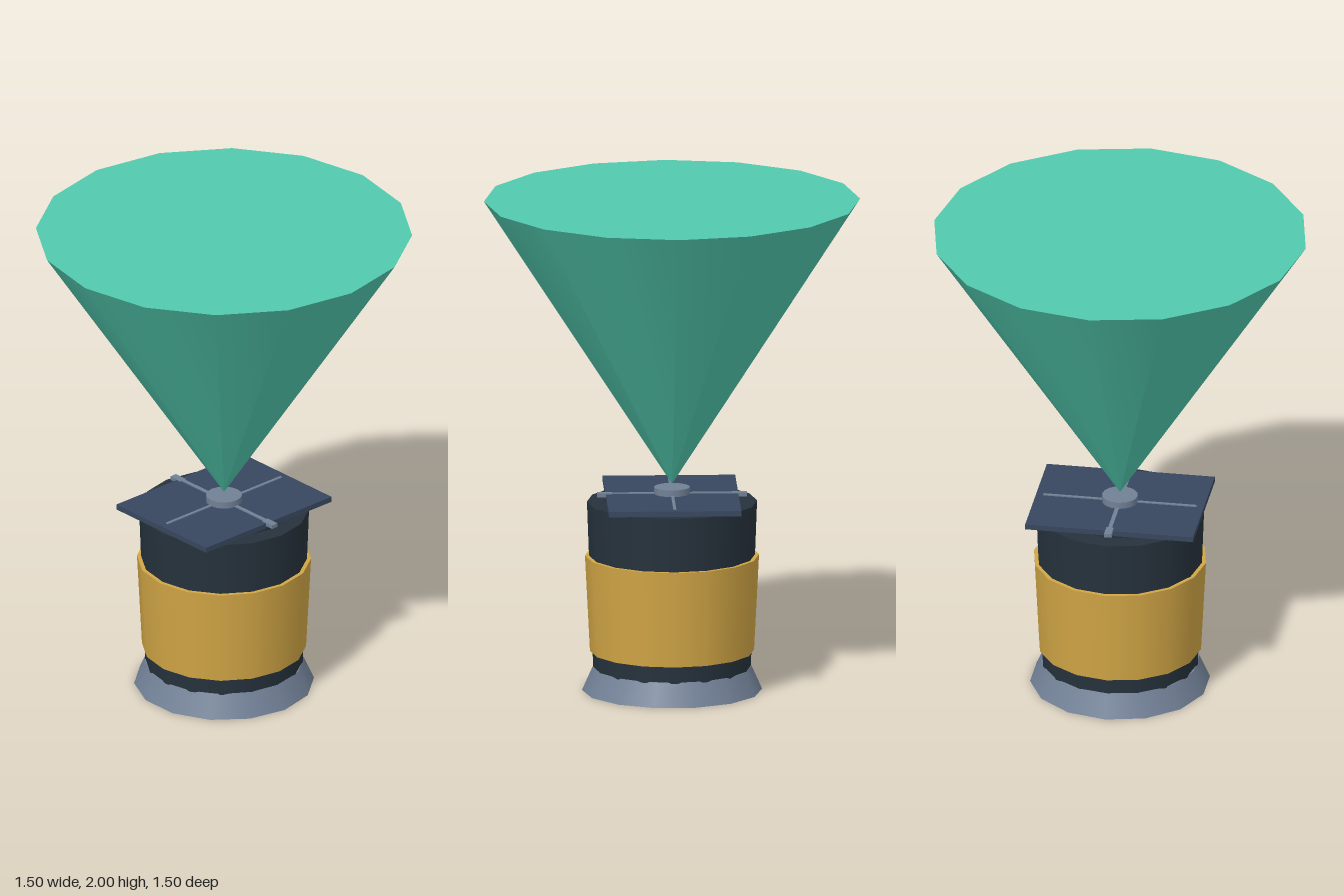
import * as THREE from 'three';

const paint = (name, color) => Object.assign(new THREE.MeshStandardMaterial({ color }), { name });

export function createModel() {
  const green = paint('teal green', 0x52c9ae);
  const gold = paint('mustard gold', 0xd0a545);
  const dark = paint('charcoal', 0x26323c);
  const navy = paint('dark slate blue', 0x38475f);
  const grey = paint('slate grey', 0x718096);

  const model = new THREE.Group();
  const add = (name, geometry, material, x, y, z) => {
    const mesh = new THREE.Mesh(geometry, material);
    mesh.name = name;
    mesh.position.set(x, y, z);
    model.add(mesh);
  };
  // Round part between two heights, with its bottom and top radius
  const round = (name, y0, y1, r0, r1, sides, material) =>
    add(name, new THREE.CylinderGeometry(r1, r0, y1 - y0, sides), material, 0, (y0 + y1) / 2, 0);
  const box = (name, w, h, d, material, x, y, z) =>
    add(name, new THREE.BoxGeometry(w, h, d), material, x, y, z);

  // Cup with flared foot and sleeve
  round('foot', 0, 0.095, 0.36, 0.318, 14, grey);
  round('body', 0.09, 0.77, 0.315, 0.34, 16, dark);
  round('sleeve', 0.16, 0.55, 0.328, 0.348, 16, gold);

  // Flat lid plate on a low collar
  round('collar', 0.765, 0.782, 0.268, 0.268, 16, dark);
  box('lidPlate', 0.68, 0.022, 0.53, navy, 0, 0.79, 0);

  // Crossing ribs and the tabs that overhang the plate
  box('crossRib', 0.62, 0.006, 0.012, grey, 0, 0.802, 0);
  box('longRib', 0.016, 0.006, 0.52, grey, 0, 0.802, 0);
  for (const side of [-1, 1]) {
    box('tab', 0.03, 0.016, 0.06, grey, 0, 0.797, side * 0.27);
  }
  round('hub', 0.8, 0.828, 0.072, 0.072, 16, grey);

  // Large cone balanced on its tip
  round('cone', 0.84, 2, 0, 0.752, 16, green);

  return model;
}
